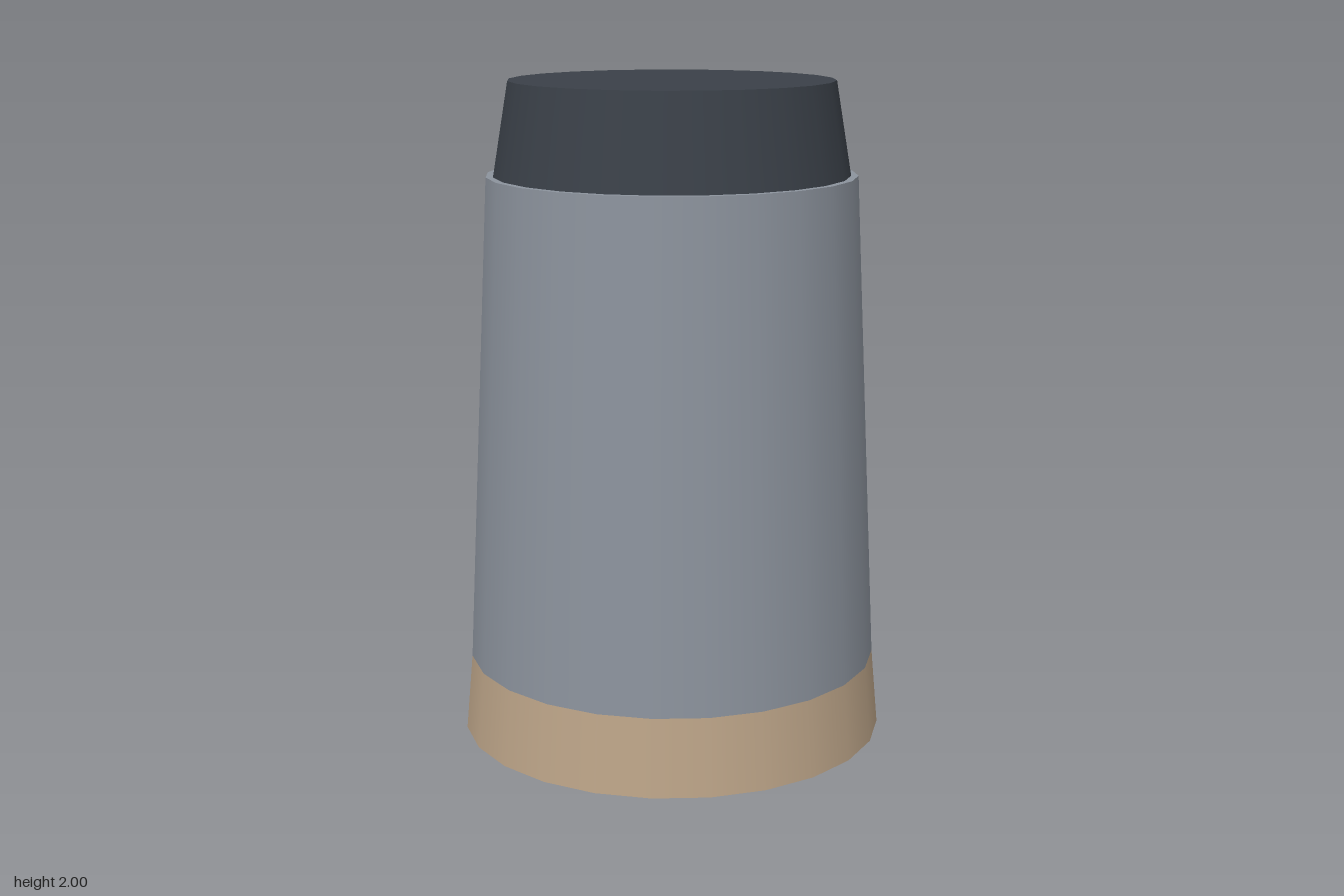
import * as THREE from 'three';

const SIDES = 24;

const material = (name, color) => {
  const m = new THREE.MeshStandardMaterial({ color });
  m.name = name;
  return m;
};

// Tapered round section standing between two heights
function taper(name, mat, bottomRadius, topRadius, y0, y1) {
  const geometry = new THREE.CylinderGeometry(topRadius, bottomRadius, y1 - y0, SIDES);
  const mesh = new THREE.Mesh(geometry, mat);
  mesh.name = name;
  mesh.position.y = (y0 + y1) / 2;
  return mesh;
}

export function createModel() {
  const tan = material('tan', 0xbca488);
  const grey = material('blue grey', 0x8c939d);
  const charcoal = material('charcoal', 0x3a4048);

  const model = new THREE.Group();
  model.name = 'taperedColumn';
  model.add(
    // flared foot
    taper('baseBand', tan, 0.65, 0.629, 0, 0.235),
    // main body, leaving a narrow ledge around the cap
    taper('body', grey, 0.629, 0.557, 0.235, 1.72),
    // dark cap
    taper('cap', charcoal, 0.535, 0.488, 1.72, 2),
  );
  return model;
}
